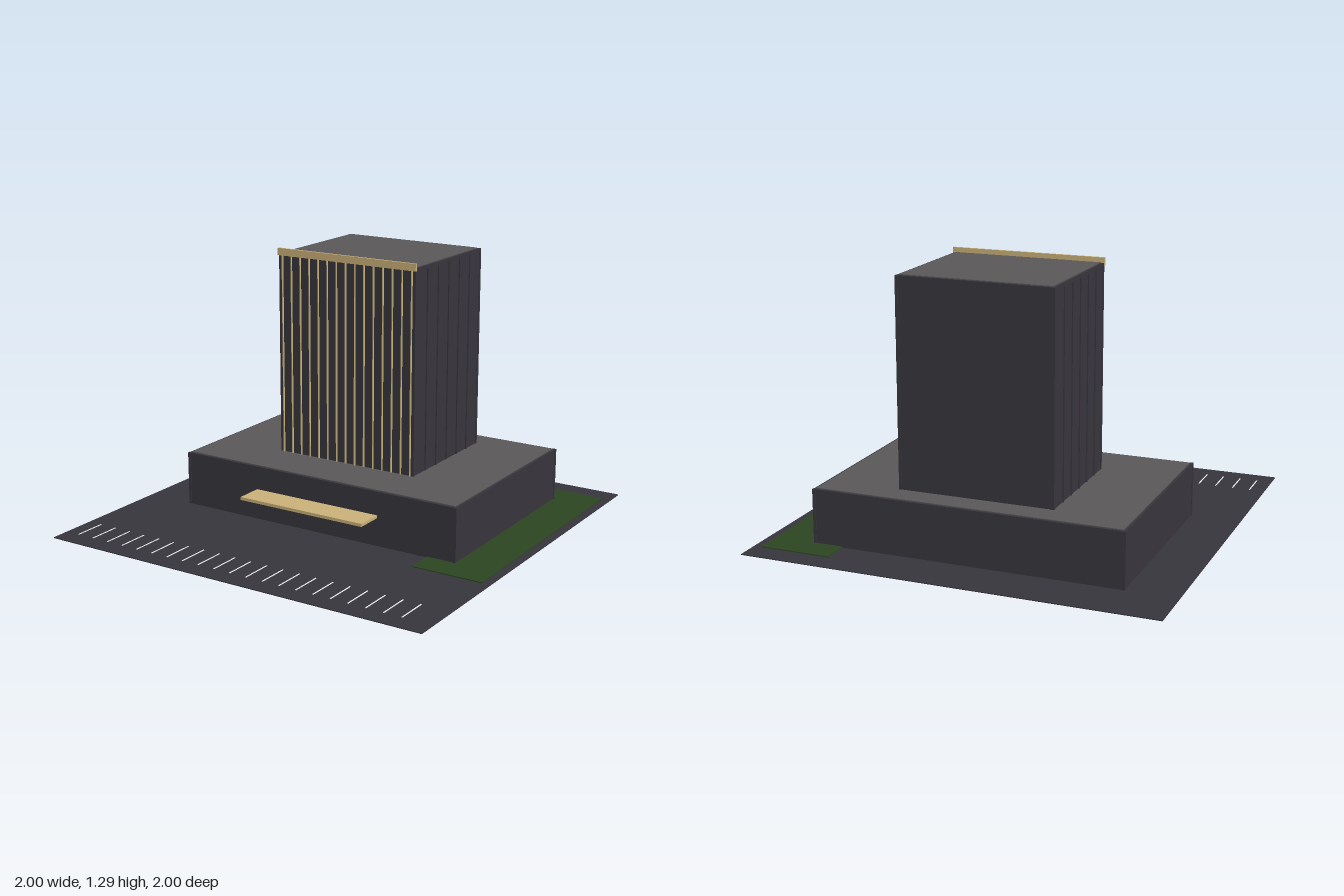
import * as THREE from 'three';

const paint = (name, color) => {
  const m = new THREE.MeshStandardMaterial({ color });
  m.name = name;
  return m;
};

export function createModel() {
  const model = new THREE.Group();
  model.name = 'towerOnPodium';
  const charcoal = paint('charcoal', 0x37353c);
  const roofGrey = paint('roofGrey', 0x5a5759);
  const gold = paint('gold', 0xc9b078);
  const green = paint('lawnGreen', 0x2c4521);
  const white = paint('lineWhite', 0xe4e4e4);

  // Box given by its minimum and maximum corners
  const box = (name, mat, [x0, y0, z0], [x1, y1, z1], parent = model) => {
    const mesh = new THREE.Mesh(new THREE.BoxGeometry(x1 - x0, y1 - y0, z1 - z0), mat);
    mesh.position.set((x0 + x1) / 2, (y0 + y1) / 2, (z0 + z1) / 2);
    mesh.name = name;
    parent.add(mesh);
    return mesh;
  };
  const group = (name) => {
    const g = new THREE.Group();
    g.name = name;
    model.add(g);
    return g;
  };

  // Block with slim corner posts and an inset roof plate
  const block = (name, hx, y0, y1, z0, z1) => {
    const g = group(name);
    box('walls', charcoal, [-hx, y0, z0], [hx, y1, z1], g);
    const r = 0.012;
    box('roof', roofGrey, [-hx + r, y1 - 0.005, z0 + r], [hx - r, y1 + 0.004, z1 - r], g);
    for (const x of [-hx, hx]) for (const z of [z0, z1]) {
      const cx = x - Math.sign(x) * 0.004;
      const cz = z + (z === z0 ? 0.004 : -0.004);
      box('cornerPost', charcoal, [cx - 0.007, y0, cz - 0.007], [cx + 0.007, y1, cz + 0.007], g);
    }
  };

  // Site
  box('ground', charcoal, [-1, 0, -1], [1, 0.004, 1]);
  box('lawn', green, [0.61, 0.004, -0.89], [0.96, 0.009, 0.41]);
  const parking = group('parkingLines');
  for (let i = 0; i < 21; i++) {
    const x = -0.925 + i * 0.0889;
    box('parkingLine', white, [x - 0.003, 0.004, 0.75], [x + 0.003, 0.006, 0.91], parking);
  }

  // Building
  block('podium', 0.755, 0.004, 0.27, -0.755, 0.275);
  block('tower', 0.377, 0.27, 1.27, -0.62, 0.008);
  box('entranceCanopy', gold, [-0.34, 0.14, 0.27], [0.34, 0.155, 0.41]);
  box('crownBand', gold, [-0.383, 1.26, 0.006], [0.383, 1.295, 0.018]);

  // Gold fins on the front
  const fins = group('frontFins');
  for (let i = 0; i < 15; i++) {
    const x = -0.36 + i * 0.72 / 14;
    box('frontFin', gold, [x - 0.0025, 0.27, 0.006], [x + 0.0025, 1.26, 0.016], fins);
  }

  // Dark fins on both sides
  const ribs = group('sideFins');
  for (const s of [-1, 1]) for (let i = 1; i <= 5; i++) {
    const z = 0.001 - i * 0.1017;
    box('sideFin', charcoal, [s * 0.379 - 0.004, 0.27, z - 0.0025], [s * 0.379 + 0.004, 1.255, z + 0.0025], ribs);
  }
  return model;
}
